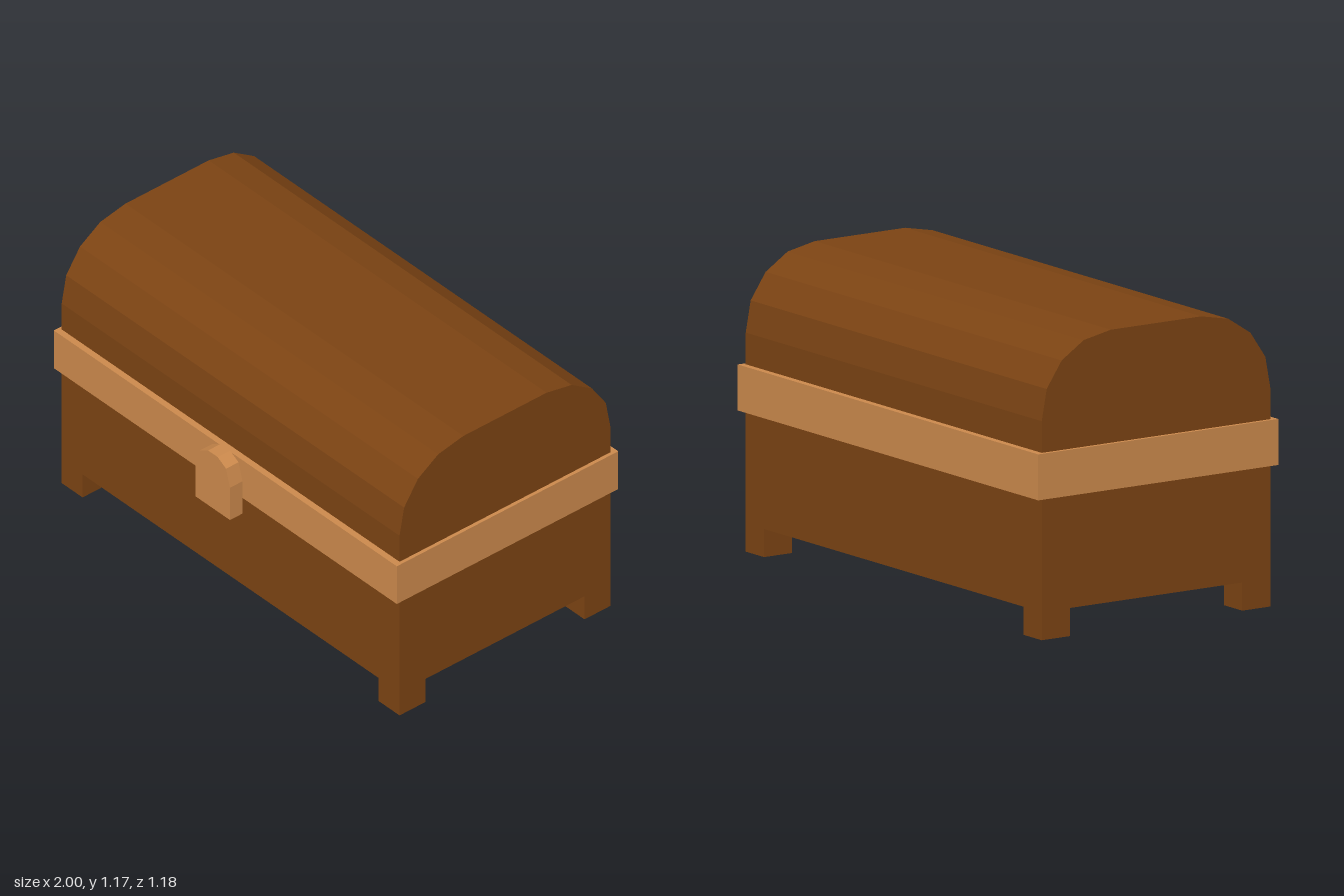
import * as THREE from 'three';

const wood = new THREE.MeshStandardMaterial({ color: 0x7b4313, flatShading: true });
const trim = new THREE.MeshStandardMaterial({ color: 0xcb894c, flatShading: true });

const HALF_X = 0.985, HALF_Z = 0.534, CENTRE_Z = -0.031;
const FLOOR = 0.11, BAND_LOW = 0.553, BAND_HIGH = 0.733;

function add(parent, name, geometry, material, x = 0, y = 0, z = 0) {
  const mesh = new THREE.Mesh(geometry, material);
  mesh.name = name;
  mesh.position.set(x, y, z);
  parent.add(mesh);
  return mesh;
}

// Symmetric outline from its right half, listed bottom to top
function mirroredShape(half) {
  const left = half.map(([x, y]) => [-x, y]).reverse();
  return new THREE.Shape([...half, ...left].map(([x, y]) => new THREE.Vector2(x, y)));
}

function extrude(shape, depth) {
  return new THREE.ExtrudeGeometry(shape, { depth, bevelEnabled: false }).translate(0, 0, -depth / 2);
}

export function createModel() {
  const chest = new THREE.Group();
  chest.name = 'chest';

  // Main box
  add(chest, 'body', new THREE.BoxGeometry(HALF_X * 2, BAND_LOW - FLOOR, HALF_Z * 2), wood,
    0, (FLOOR + BAND_LOW) / 2, CENTRE_Z);

  // Four corner feet
  const footX = 0.122, footZ = 0.131;
  const foot = new THREE.BoxGeometry(footX, FLOOR, footZ);
  for (const sx of [-1, 1]) {
    for (const sz of [-1, 1]) {
      add(chest, `${sz > 0 ? 'front' : 'back'}${sx > 0 ? 'Left' : 'Right'}Foot`, foot, wood,
        sx * (HALF_X - footX / 2), FLOOR / 2, CENTRE_Z + sz * (HALF_Z - footZ / 2));
    }
  }

  // Trim band around the opening
  add(chest, 'band', new THREE.BoxGeometry(2, BAND_HIGH - BAND_LOW, 1.122), trim,
    0, (BAND_LOW + BAND_HIGH) / 2, CENTRE_Z);

  // Faceted barrel lid, its profile swept along x
  const lidShape = mirroredShape([
    [HALF_Z, BAND_HIGH], [HALF_Z, 0.857], [0.511, 0.98], [0.441, 1.083], [0.338, 1.15], [0.211, 1.175],
  ]);
  add(chest, 'lid', extrude(lidShape, HALF_X * 2).rotateY(Math.PI / 2), wood, 0, 0, CENTRE_Z);

  // Arched latch plate on the front
  const latchShape = mirroredShape([[0.1, 0.478], [0.1, 0.632], [0.077, 0.71], [0.028, 0.738]]);
  add(chest, 'latch', extrude(latchShape, 0.063), trim, 0, 0, 0.5615);

  return chest;
}
